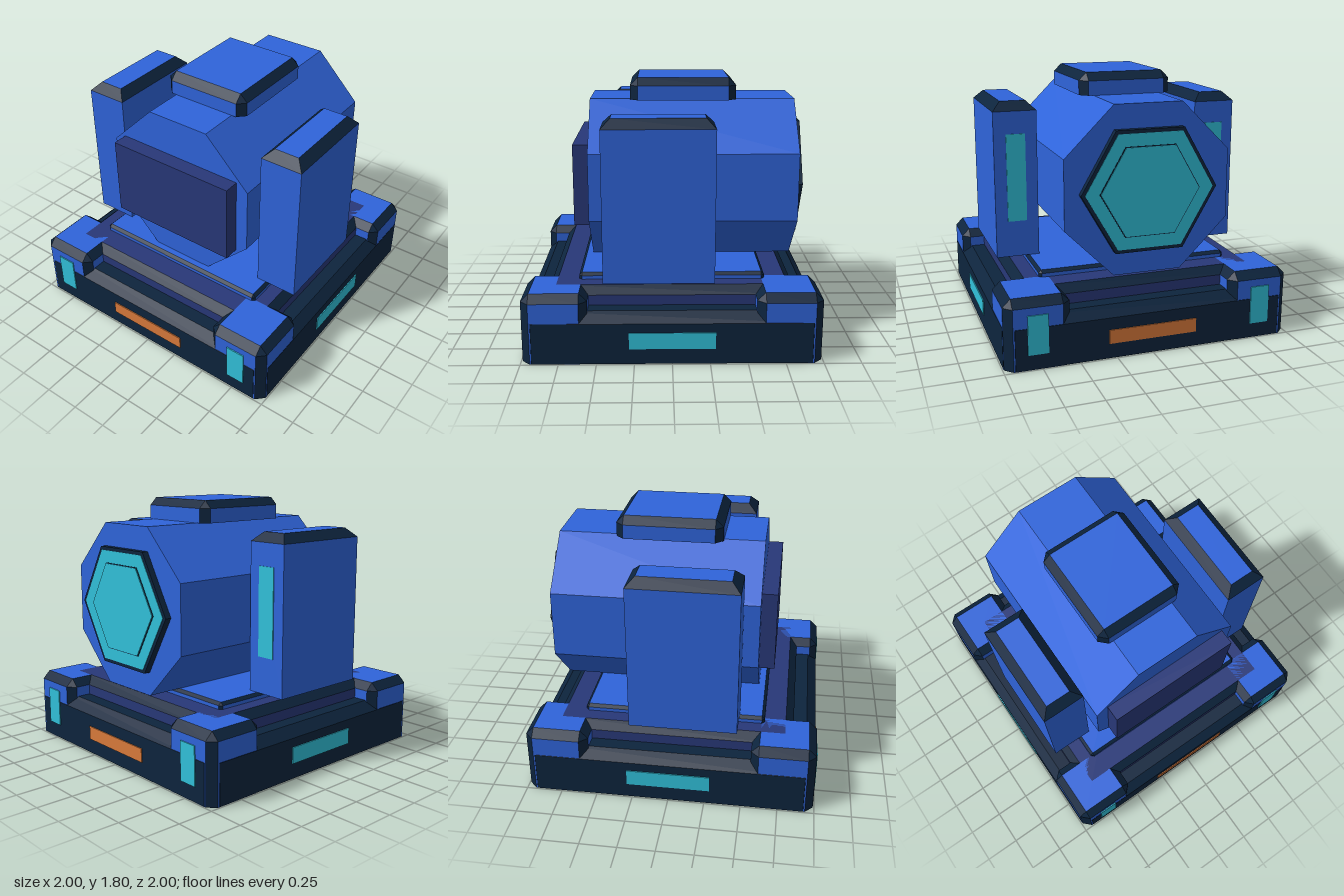
import * as THREE from 'three';

const mat = (name, color) => Object.assign(new THREE.MeshStandardMaterial({ color }), { name });

export function createModel() {
  const model = new THREE.Group();
  model.name = 'machine';
  const blue = mat('blue', 0x2f64da);
  const navy = mat('navy', 0x0d243d);
  const indigo = mat('indigo', 0x283878);
  const cyan = mat('cyan', 0x31c1da);
  const orange = mat('orange', 0xd97a3b);

  const add = (name, geometry, material, x, y, z) => {
    const mesh = new THREE.Mesh(geometry, material);
    mesh.name = name;
    mesh.position.set(x, y, z);
    model.add(mesh);
    return mesh;
  };
  const box = (name, m, w, h, d, x, y, z) => add(name, new THREE.BoxGeometry(w, h, d), m, x, y, z);

  // Block with a bevelled top rim and optional chamfered uprights.
  // Flat faces take the first material, bevels the second.
  function block(name, materials, w, h, d, bevel, chamfer, x, y, z) {
    const ring = (hx, hz, c, py) => [[1, 1], [-1, 1], [-1, -1], [1, -1]].flatMap(([sx, sz], i) => {
      const pair = [
        new THREE.Vector3(sx * hx, py, sz * (hz - c)),
        new THREE.Vector3(sx * (hx - c), py, sz * hz),
      ];
      return i % 2 ? pair.reverse() : pair;
    });
    const low = ring(w / 2, d / 2, chamfer, 0);
    const mid = ring(w / 2, d / 2, chamfer, h - bevel);
    const top = ring(w / 2 - bevel, d / 2 - bevel, 0, h);
    const faces = [], edges = [];
    const tri = (list, a, b, c) => {
      if (new THREE.Triangle(a, b, c).getArea() > 1e-7) list.push(a, b, c);
    };
    const quad = (list, a, b, c, e) => { tri(list, a, b, c); tri(list, a, c, e); };
    for (let i = 0; i < 8; i++) {
      const j = (i + 1) % 8;
      quad(i % 2 ? faces : edges, low[i], mid[i], mid[j], low[j]);
      quad(edges, mid[i], top[i], top[j], mid[j]);
      tri(faces, top[0], top[j], top[i]);
      tri(faces, low[0], low[i], low[j]);
    }
    const geometry = new THREE.BufferGeometry().setFromPoints([...faces, ...edges]);
    geometry.addGroup(0, faces.length, 0);
    geometry.addGroup(faces.length, edges.length, 1);
    geometry.computeVertexNormals();
    return add(name, geometry, materials, x, y, z);
  }

  // Prism lying along x between two positions
  function prism(name, m, sides, radius, x0, x1, turn) {
    const geometry = new THREE.CylinderGeometry(radius, radius, x1 - x0, sides).toNonIndexed();
    geometry.rotateY(turn);
    geometry.rotateZ(-Math.PI / 2);
    geometry.computeVertexNormals();
    return add(name, geometry, m, (x0 + x1) / 2, 1.083, 0);
  }

  // Stepped base
  block('baseSlab', [navy, navy], 1.986, 0.348, 1.986, 0.067, 0.067, 0, 0.002, 0);
  block('baseStep', [indigo, navy], 1.66, 0.135, 1.66, 0.055, 0.055, 0, 0.34, 0);
  block('deck', [blue, navy], 1.26, 0.06, 1.35, 0.02, 0.02, 0, 0.46, 0);

  // Corner posts with side lights
  for (const sx of [-1, 1]) {
    for (const sz of [-1, 1]) {
      block('cornerPost', [blue, navy], 0.435, 0.475, 0.435, 0.054, 0.054, sx * 0.774, 0, sz * 0.774);
      box('postLight', cyan, 0.008, 0.265, 0.135, sx * 0.996, 0.2375, sz * 0.777);
    }
    box('sideLight', orange, 0.008, 0.095, 0.61, sx * 0.996, 0.153, 0);
    box('endLight', cyan, 0.57, 0.112, 0.008, 0, 0.165, sx * 0.996);
  }

  // Upright pillars flanking the body
  for (const sz of [-1, 1]) {
    block('pillar', [blue, navy], 0.735, 1.083, 0.3, 0.062, 0, -0.0875, 0.52, sz * 0.736);
    box('pillarLight', cyan, 0.008, 0.61, 0.133, 0.282, 1.08, sz * 0.735);
  }

  // Octagonal body, rear plate and roof hatch
  prism('body', blue, 8, 0.5625 / Math.cos(Math.PI / 8), -0.565, 0.863, Math.PI / 8);
  box('rearPlate', indigo, 0.11, 0.565, 0.95, -0.618, 1.083, 0);
  block('roofHatch', [blue, navy], 0.735, 0.151, 0.642, 0.053, 0.053, 0.084, 1.645, 0);

  // Hexagonal lens in stacked plates
  prism('lensRim', navy, 6, 0.465, 0.86, 0.906, 0);
  prism('lens', cyan, 6, 0.438, 0.902, 0.909, 0);
  prism('lensLine', navy, 6, 0.343, 0.905, 0.912, 0);
  prism('lensCentre', cyan, 6, 0.336, 0.909, 0.917, 0);

  return model;
}
